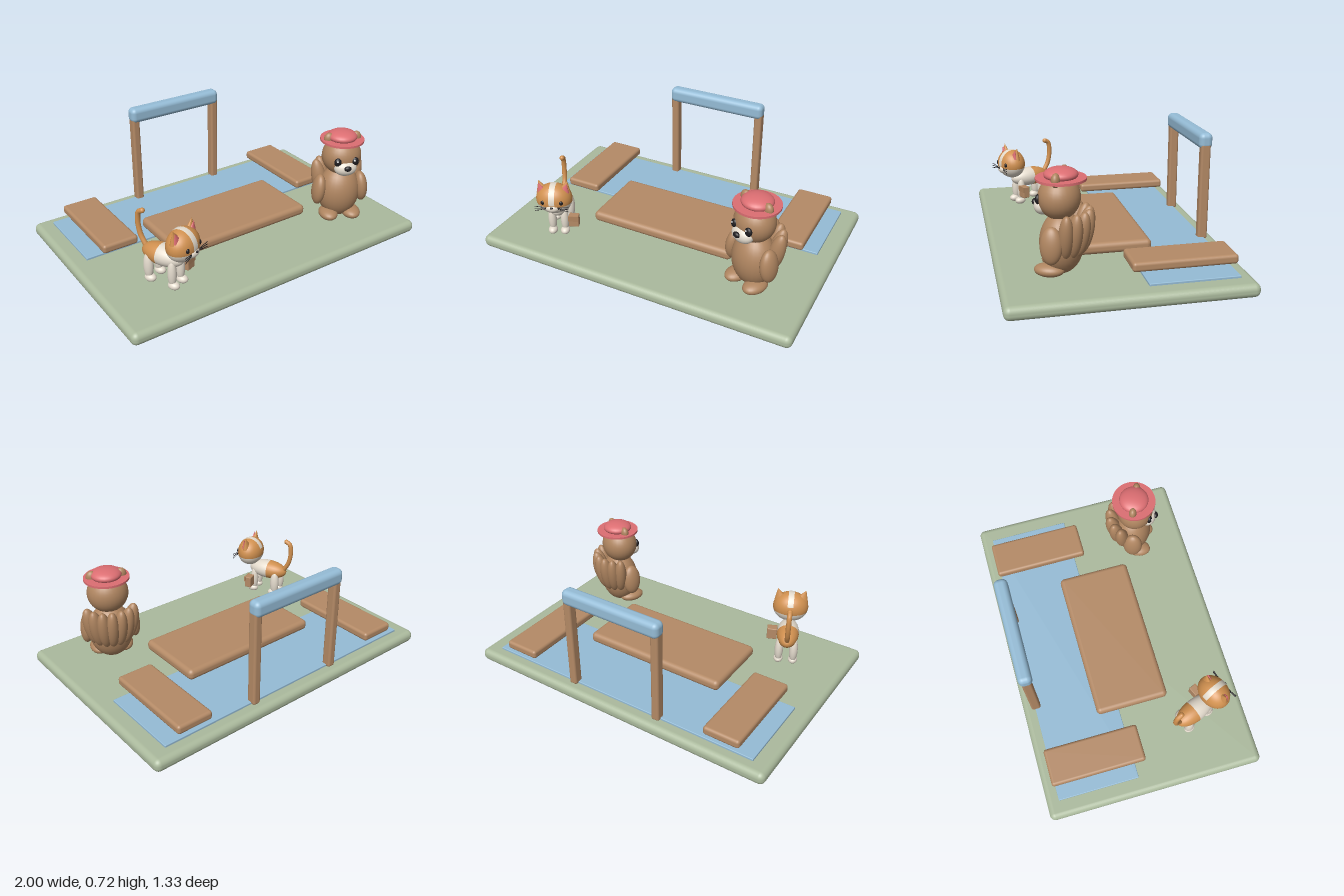
import * as THREE from 'three';
import { RoundedBoxGeometry } from 'three/addons/geometries/RoundedBoxGeometry.js';

const material = (name, color) => {
  const m = new THREE.MeshStandardMaterial({ color });
  m.name = name;
  return m;
};

export function createModel() {
  const green = material('grass green', 0xabba9d);
  const blue = material('water blue', 0x95bcd6);
  const wood = material('wood brown', 0xb48a66);
  const fur = material('fur brown', 0xaf8560);
  const orange = material('ginger', 0xd0904f);
  const cream = material('cream', 0xe4dbcd);
  const red = material('soft red', 0xdc6e72);
  const dark = material('near black', 0x1f1d20);
  const white = material('white', 0xffffff);

  const model = new THREE.Group();
  model.name = 'playground';

  const add = (parent, name, geo, mat, pos, rot = [0, 0, 0]) => {
    const mesh = new THREE.Mesh(geo, mat);
    mesh.name = name;
    mesh.position.set(...pos);
    mesh.rotation.set(...rot);
    parent.add(mesh);
    return mesh;
  };
  // rounded block given by its min and max corners
  const block = (name, mat, a, b, r) => add(model, name,
    new RoundedBoxGeometry(b[0] - a[0], b[1] - a[1], b[2] - a[2], 4, r), mat,
    a.map((v, i) => (v + b[i]) / 2));
  // ellipsoid with three radii
  const ball = (parent, name, mat, pos, radii, rot) => add(parent, name,
    new THREE.SphereGeometry(1, 28, 20).scale(...radii), mat, pos, rot);

  // ground and pool
  block('ground', green, [-1, 0, -0.665], [1, 0.077, 0.665], 0.034);
  block('pool', blue, [-0.9, 0.07, -0.59], [0.895, 0.09, -0.09], 0.004);

  // low table and two benches
  block('table', wood, [-0.468, 0.089, -0.228], [0.465, 0.157, 0.224], 0.028);
  for (const s of [-1, 1]) {
    block('bench', wood, [s * 0.708 - 0.112, 0.122, -0.605], [s * 0.708 + 0.112, 0.176, -0.022], 0.018);
    block('gatePost', wood, [s * 0.294 - 0.025, 0.075, -0.613], [s * 0.294 + 0.025, 0.66, -0.554], 0.014);
  }
  block('gateBeam', blue, [-0.323, 0.625, -0.625], [0.32, 0.72, -0.544], 0.03);

  // ---- bear with a hat and a fan of tails ----
  const bear = new THREE.Group();
  bear.name = 'bear';
  bear.position.set(0.645, 0, 0.32);
  bear.rotation.y = -0.42;
  model.add(bear);
  ball(bear, 'bearBody', fur, [0, 0.26, 0], [0.132, 0.17, 0.118]);
  ball(bear, 'bearHead', fur, [0, 0.505, 0.01], [0.121, 0.118, 0.112]);
  ball(bear, 'bearMuzzle', cream, [0, 0.458, 0.095], [0.07, 0.05, 0.05]);
  ball(bear, 'bearNose', dark, [0, 0.472, 0.143], [0.022, 0.017, 0.014]);
  for (const s of [-1, 1]) {
    ball(bear, 'bearEar', fur, [s * 0.085, 0.617, 0.005], [0.032, 0.038, 0.024]);
    ball(bear, 'bearEye', dark, [s * 0.053, 0.503, 0.108], [0.023, 0.027, 0.016]);
    ball(bear, 'bearEyeGlint', white, [s * 0.053 - 0.006, 0.512, 0.121], [0.006, 0.006, 0.005]);
    ball(bear, 'bearArm', fur, [s * 0.135, 0.285, 0.02], [0.042, 0.1, 0.06], [0, 0, s * 0.1]);
    ball(bear, 'bearFoot', fur, [s * 0.073, 0.127, 0.05], [0.058, 0.036, 0.082]);
  }
  // tails fan around the back, leaning outwards
  for (let i = -3; i <= 3; i++) {
    const pivot = new THREE.Group();
    pivot.name = 'bearTailPivot';
    pivot.rotation.y = i * 0.38;
    bear.add(pivot);
    ball(pivot, 'bearTail', fur, [0, 0.325, -0.125], [0.04, 0.128, 0.046], [-0.22, 0, 0]);
  }
  // hat
  add(bear, 'hatBrim', new THREE.CylinderGeometry(0.133, 0.133, 0.013, 40), red, [0, 0.607, 0]);
  ball(bear, 'hatCrown', red, [0, 0.628, 0], [0.09, 0.038, 0.09]);

  // ---- cat: origin under its head ----
  const cat = new THREE.Group();
  cat.name = 'cat';
  cat.position.set(-0.578, 0, 0.458);
  cat.rotation.y = 0.4;
  model.add(cat);

  // head in two colours, with a cream blaze over the forehead
  const headRadii = [0.108, 0.095, 0.085];
  const headPart = (name, mat, t0, t1) => add(cat, name,
    new THREE.SphereGeometry(1, 32, 16, 0, Math.PI * 2, t0, t1 - t0).scale(...headRadii), mat, [0, 0.365, 0]);
  headPart('catHeadTop', orange, 0, 1.78);
  headPart('catHeadBottom', cream, 1.78, Math.PI);
  add(cat, 'catBlaze', new THREE.SphereGeometry(1.015, 24, 4, -1.2, 2.85, Math.PI / 2 - 0.16, 0.32)
    .rotateZ(-Math.PI / 2).scale(...headRadii), cream, [0, 0.365, 0]);
  ball(cat, 'catMuzzle', cream, [0, 0.335, 0.066], [0.042, 0.026, 0.027]);
  ball(cat, 'catNose', dark, [0, 0.348, 0.092], [0.009, 0.007, 0.006]);
  for (const s of [-1, 1]) {
    add(cat, 'catEar', new THREE.ConeGeometry(0.04, 0.075, 20).scale(1, 1, 0.6), orange,
      [s * 0.075, 0.448, 0], [0, 0, -s * 0.28]);
    add(cat, 'catInnerEar', new THREE.ConeGeometry(0.028, 0.058, 20).scale(1, 1, 0.5), red,
      [s * 0.076, 0.446, 0.014], [0, 0, -s * 0.28]);
    ball(cat, 'catEye', dark, [s * 0.054, 0.372, 0.071], [0.012, 0.014, 0.008]);
    for (let k = -1; k <= 1; k++) {
      add(cat, 'catWhisker', new THREE.CylinderGeometry(0.002, 0.002, 0.065, 6), dark,
        [s * 0.068, 0.342 + k * 0.01, 0.085], [0, -s * 0.1, Math.PI / 2 + s * k * 0.16]);
    }
    ball(cat, 'catFrontLeg', cream, [s * 0.038, 0.18, -0.05], [0.025, 0.085, 0.026]);
    ball(cat, 'catFrontPaw', cream, [s * 0.038, 0.106, -0.04], [0.028, 0.024, 0.036]);
    ball(cat, 'catHindLeg', cream, [s * 0.044, 0.18, -0.205], [0.026, 0.085, 0.03]);
    ball(cat, 'catHindPaw', cream, [s * 0.044, 0.106, -0.195], [0.028, 0.024, 0.036]);
  }

  // body: cream front, ginger back
  const bodyPart = (name, mat, t0, t1) => add(cat, name,
    new THREE.SphereGeometry(1, 28, 14, 0, Math.PI * 2, t0, t1 - t0)
      .rotateX(Math.PI / 2).scale(0.067, 0.062, 0.135), mat, [0, 0.255, -0.135]);
  bodyPart('catChest', cream, 0, 1.65);
  bodyPart('catRump', orange, 1.65, Math.PI);

  // raised tail
  const tailPath = new THREE.CatmullRomCurve3([
    [0, 0.27, -0.25], [0, 0.33, -0.285], [0, 0.41, -0.3], [0, 0.47, -0.29], [0, 0.485, -0.265],
  ].map((p) => new THREE.Vector3(...p)));
  add(cat, 'catTail', new THREE.TubeGeometry(tailPath, 24, 0.015, 12), orange, [0, 0, 0]);
  ball(cat, 'catTailTip', orange, [0, 0.485, -0.265], [0.015, 0.015, 0.015]);

  // small satchel at the cat's side
  add(cat, 'satchel', new RoundedBoxGeometry(0.062, 0.075, 0.045, 2, 0.005), wood, [0.098, 0.183, -0.04]);
  add(cat, 'satchelFlap', new THREE.BoxGeometry(0.064, 0.035, 0.008), fur, [0.098, 0.203, -0.018]);

  return model;
}
